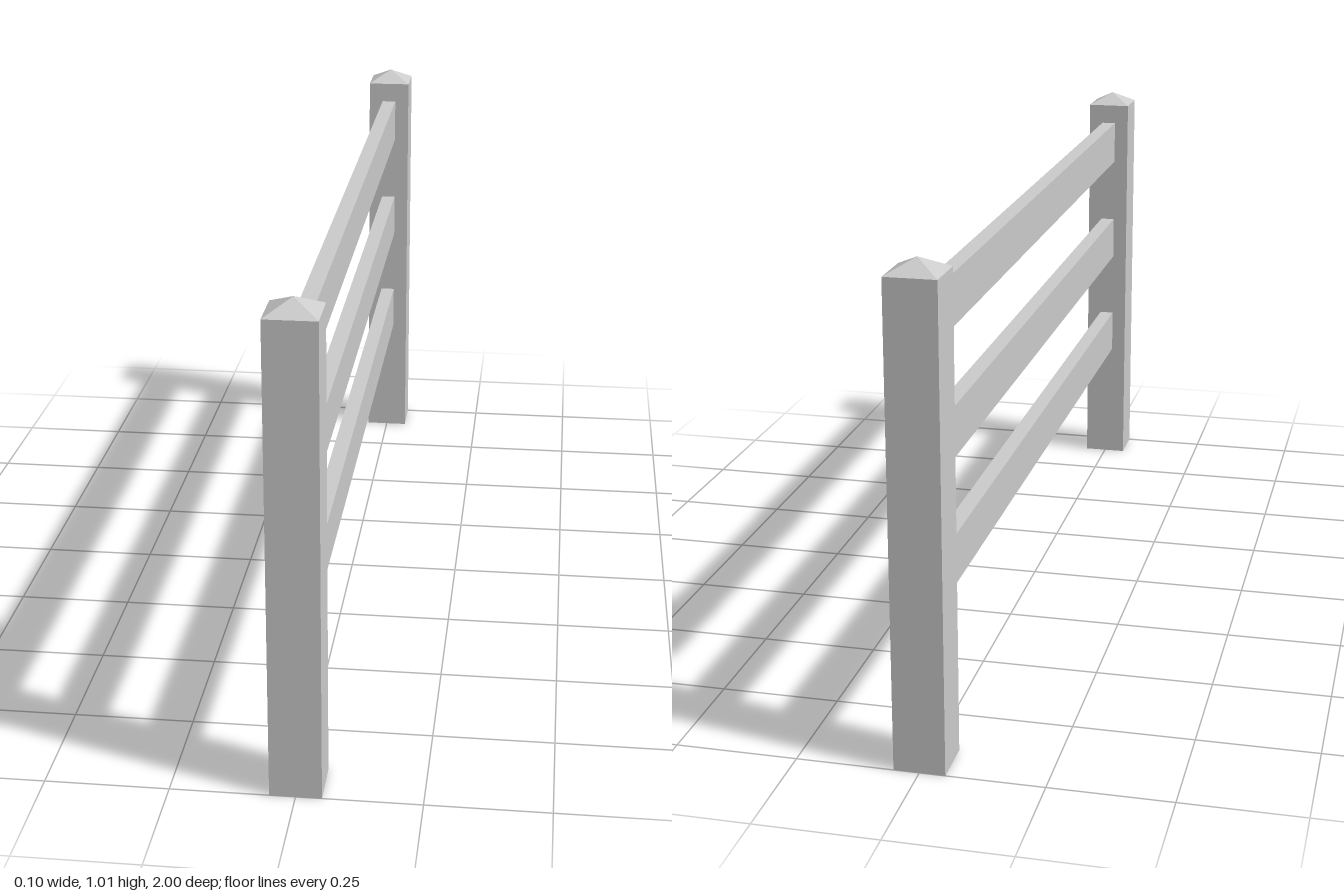
import * as THREE from 'three';

const POST_W = 0.104, POST_H = 0.985, TIP_H = 0.028;
const RAIL_H = 0.105, RAIL_T = 0.034;

export function createModel() {
  const fence = new THREE.Group();
  fence.name = 'fence';
  const material = new THREE.MeshStandardMaterial({ color: 0xcccccc, flatShading: true });

  const add = (parent, name, geometry, y) => {
    const mesh = new THREE.Mesh(geometry, material);
    mesh.name = name;
    mesh.position.y = y;
    parent.add(mesh);
  };

  // Square posts with shallow pyramid caps
  const shaft = new THREE.BoxGeometry(POST_W, POST_H, POST_W);
  const cap = new THREE.ConeGeometry(POST_W / Math.SQRT2, TIP_H, 4, 1, true).rotateY(Math.PI / 4);
  for (const [name, side] of [['frontPost', 1], ['backPost', -1]]) {
    const post = new THREE.Group();
    post.name = name;
    post.position.z = side * (1 - POST_W / 2);
    add(post, 'postShaft', shaft, POST_H / 2);
    add(post, 'postCap', cap, POST_H + TIP_H / 2);
    fence.add(post);
  }

  // Three thin rails spanning between the posts
  const rail = new THREE.BoxGeometry(RAIL_T, RAIL_H, 2 - 2 * POST_W);
  const rails = { lowerRail: 0.354, middleRail: 0.62, upperRail: 0.885 };
  for (const [name, y] of Object.entries(rails)) add(fence, name, rail, y);

  return fence;
}
